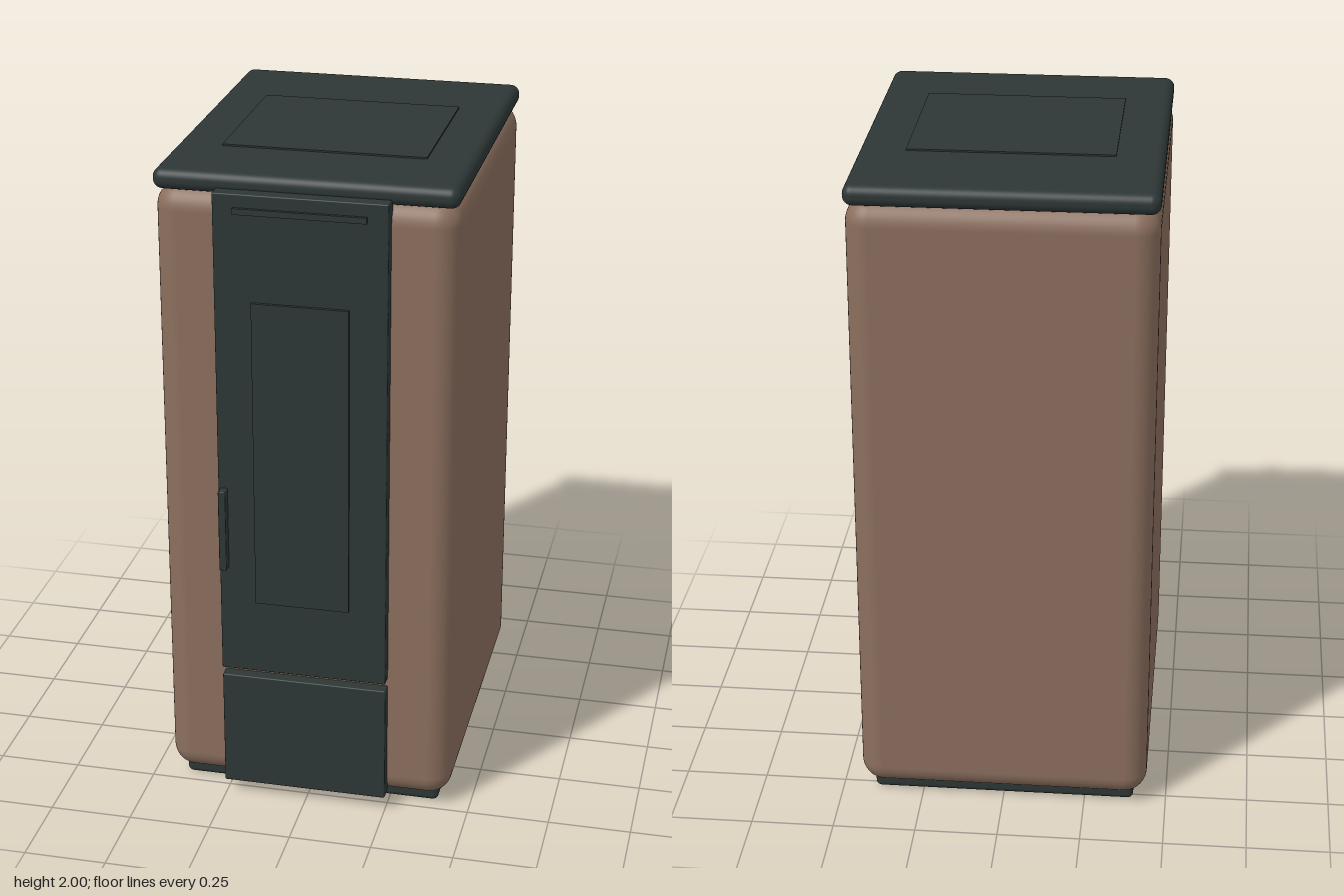
import * as THREE from 'three';
import { RoundedBoxGeometry } from 'three/addons/geometries/RoundedBoxGeometry.js';

export function createModel() {
  const stove = new THREE.Group();
  stove.name = 'stove';

  const clay = new THREE.MeshStandardMaterial({ color: 0x8b6f5e });
  clay.name = 'clay brown';
  const iron = new THREE.MeshStandardMaterial({ color: 0x2d3636 });
  iron.name = 'dark iron';

  // Adds a box given its extents on each axis, with an optional edge radius
  function addBox(name, material, [x0, x1], [y0, y1], [z0, z1], radius = 0) {
    const size = [x1 - x0, y1 - y0, z1 - z0];
    const geometry = radius > 0
      ? new RoundedBoxGeometry(...size, 6, radius)
      : new THREE.BoxGeometry(...size);
    const mesh = new THREE.Mesh(geometry, material);
    mesh.name = name;
    mesh.position.set((x0 + x1) / 2, (y0 + y1) / 2, (z0 + z1) / 2);
    stove.add(mesh);
  }

  // Casing between a plinth and an overhanging lid
  addBox('plinth', iron, [-0.4, 0.4], [0, 0.05], [-0.53, 0.46], 0.018);
  addBox('casing', clay, [-0.44, 0.44], [0.035, 1.945], [-0.58, 0.51], 0.07);
  addBox('lid', iron, [-0.44, 0.44], [1.933, 1.995], [-0.58, 0.51], 0.028);
  addBox('hopperCover', iron, [-0.3, 0.3], [1.985, 2], [-0.265, 0.255]);

  // Fire door and drawer front
  addBox('door', iron, [-0.253, 0.25], [0.445, 1.952], [0.49, 0.55], 0.004);
  addBox('drawerFront', iron, [-0.253, 0.25], [0.045, 0.42], [0.49, 0.547], 0.004);

  // Door fittings
  addBox('doorWindow', iron, [-0.143, 0.14], [0.682, 1.635], [0.545, 0.56]);
  addBox('airVent', iron, [-0.193, 0.19], [1.895, 1.913], [0.545, 0.56]);
  addBox('handle', iron, [-0.247, -0.225], [0.79, 1.047], [0.545, 0.58], 0.003);

  return stove;
}
